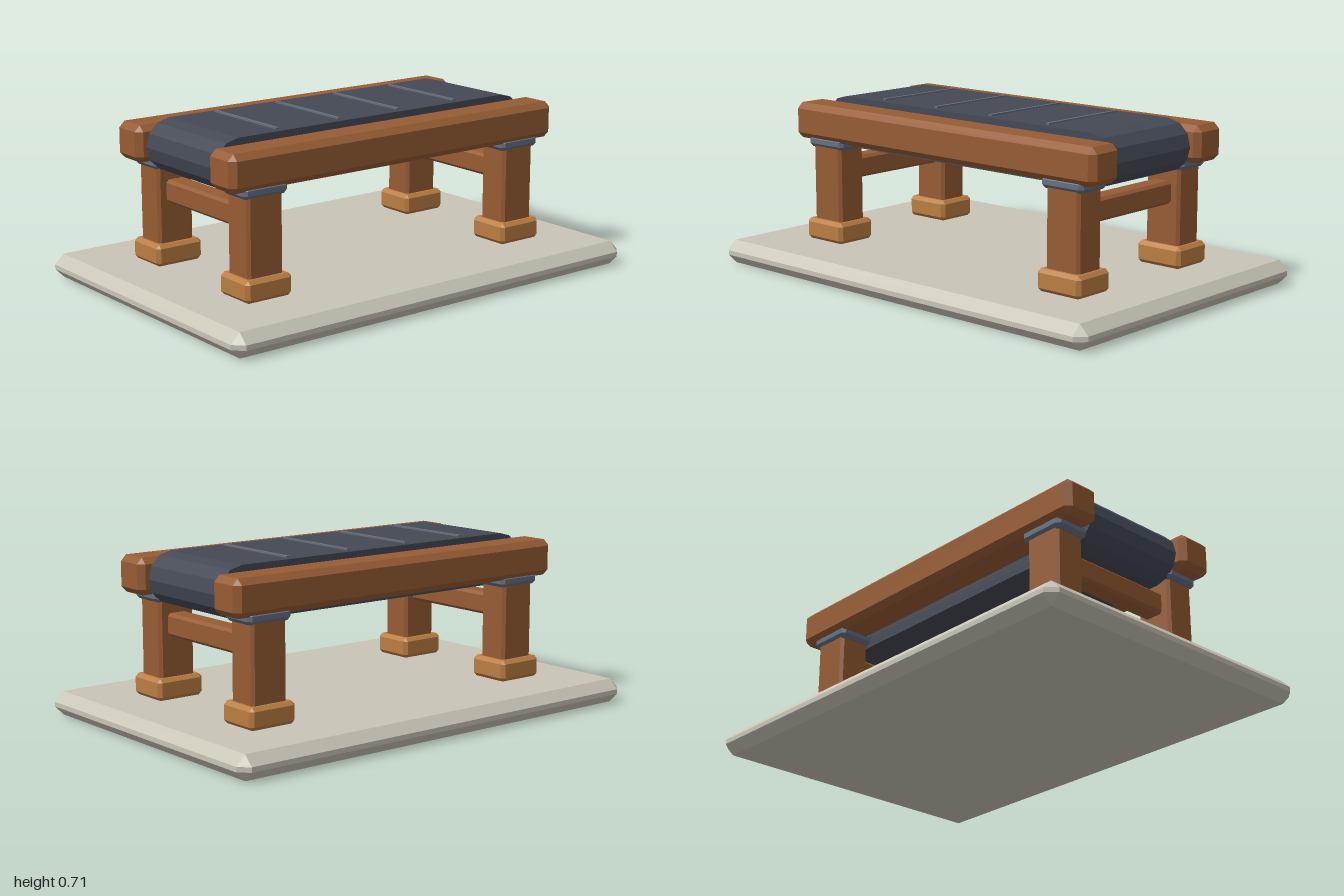
import * as THREE from 'three';
import { ConvexGeometry } from 'three/addons/geometries/ConvexGeometry.js';

const material = (name, color) => {
  const m = new THREE.MeshStandardMaterial({ color });
  m.name = name;
  return m;
};

// Box of full size w, h, d with every edge cut by c
function chamferBox(w, h, d, c) {
  const half = [w / 2, h / 2, d / 2];
  const points = [];
  for (const sx of [-1, 1]) for (const sy of [-1, 1]) for (const sz of [-1, 1]) {
    for (let axis = 0; axis < 3; axis++) {
      const p = half.map((v, i) => (i === axis ? v : v - c));
      points.push(new THREE.Vector3(p[0] * sx, p[1] * sy, p[2] * sz));
    }
  }
  return new ConvexGeometry(points);
}

// Faceted loop: two half rounds joined by straight runs, extruded across x
function beltGeometry(width, radius, halfRun, segments) {
  const shape = new THREE.Shape();
  const points = [];
  for (const side of [1, -1]) {
    for (let i = 0; i <= segments; i++) {
      const a = -Math.PI / 2 + (i / segments) * Math.PI;
      points.push(new THREE.Vector2(
        side * (halfRun + radius * Math.cos(a)), side * radius * Math.sin(a)));
    }
  }
  shape.setFromPoints(points);
  const g = new THREE.ExtrudeGeometry(shape, { depth: width, bevelEnabled: false });
  g.translate(0, 0, -width / 2);
  g.rotateY(Math.PI / 2);
  return g;
}

export function createModel() {
  const model = new THREE.Group();
  model.name = 'conveyor';

  const stone = material('stone', 0xc8c4b6);
  const wood = material('wood', 0x965c33);
  const lightWood = material('lightWood', 0xba7d42);
  const rubber = material('rubber', 0x444955);
  const slatGrey = material('slatGrey', 0x686d7d);
  const metal = material('metal', 0x647082);

  const add = (name, geometry, mat, x, y, z) => {
    const mesh = new THREE.Mesh(geometry, mat);
    mesh.name = name;
    mesh.position.set(x, y, z);
    model.add(mesh);
  };

  // Floor slab
  add('base', chamferBox(1.35, 0.1, 2, 0.04), stone, 0, 0.05, 0);

  // Belt and its raised slats
  add('belt', beltGeometry(0.48, 0.1075, 0.68, 6), rubber, 0, 0.5975, 0);
  const slat = new THREE.BoxGeometry(0.42, 0.016, 0.014);
  for (let i = 0; i < 4; i++) add('slat', slat, slatGrey, 0, 0.704, 0.473 - i * 0.303);

  // Side rails
  const rail = chamferBox(0.165, 0.152, 1.65, 0.025);
  for (const side of [-1, 1]) add('rail', rail, wood, side * 0.323, 0.608, 0);

  // Legs with feet and brackets, and a cross bar at each end
  const post = chamferBox(0.138, 0.36, 0.165, 0.012);
  const foot = chamferBox(0.19, 0.09, 0.215, 0.015);
  const bracket = chamferBox(0.16, 0.05, 0.205, 0.015);
  const bar = chamferBox(0.5, 0.094, 0.09, 0.012);
  for (const end of [-1, 1]) {
    const z = end * 0.655;
    for (const side of [-1, 1]) {
      const x = side * 0.31;
      add('post', post, wood, x, 0.34, z);
      add('foot', foot, lightWood, x, 0.145, z);
      add('bracket', bracket, metal, x, 0.525, z);
    }
    add('crossBar', bar, wood, 0, 0.405, z);
  }
  return model;
}
